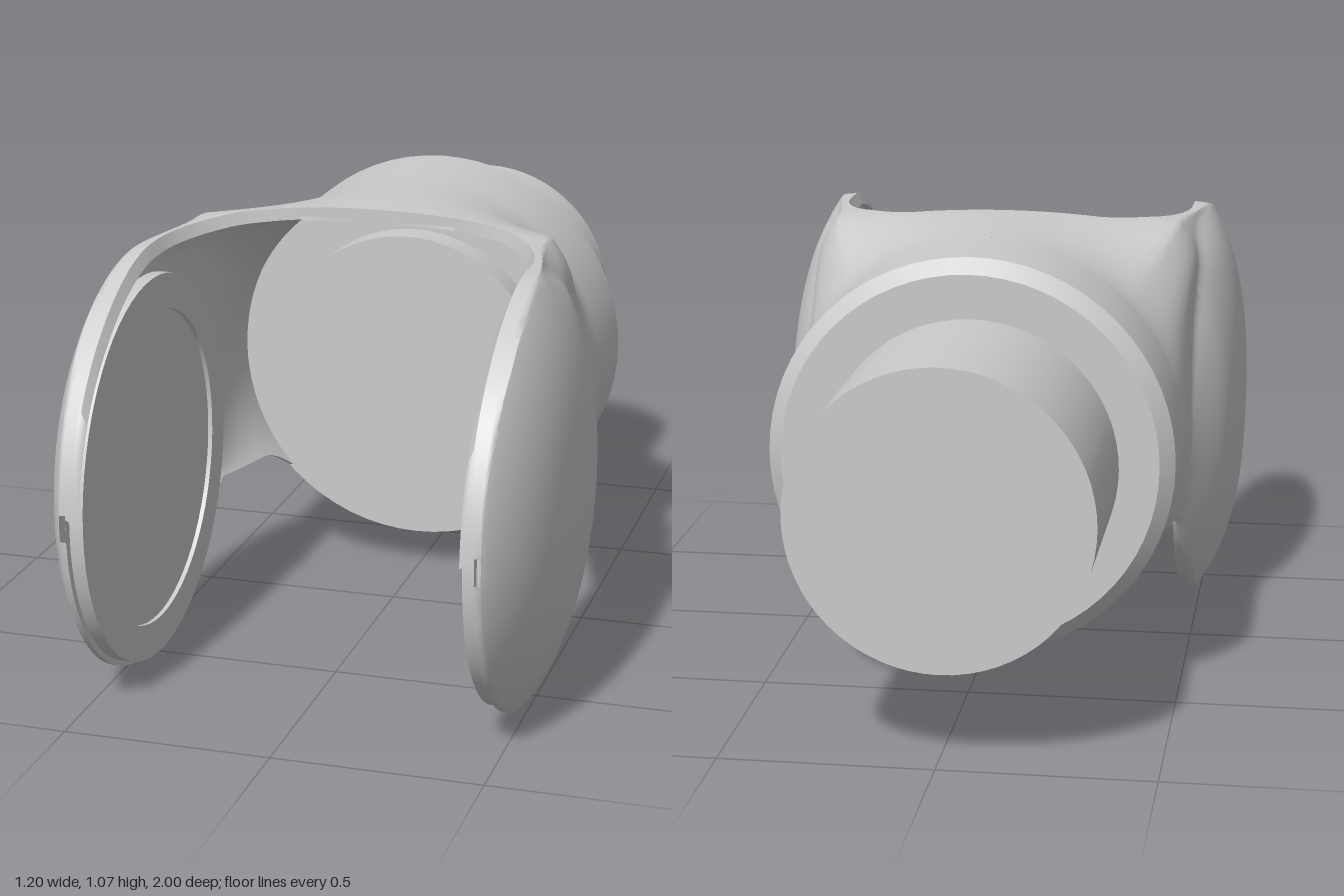
import * as THREE from 'three';
import { toCreasedNormals } from 'three/addons/utils/BufferGeometryUtils.js';

const { clamp, smoothstep, lerp } = THREE.MathUtils;
const R = 0.485, CY = 0.58; // collar radius and height of its axis
const BACK = -0.24, CUT = 0.13; // where the fork starts, and the front edge of its bridge
const TOP = 14, SIDE = 32; // points across half the bridge, and down one cheek

// Upper edge of the fork's cheeks
function rimTop(z) {
  if (z < 0.5) return 1.03 + (0.5 - z) * 0.02;
  return 0.5 + (0.5 + 0.03 * clamp(1 - (z - 0.5) / 0.3, 0, 1)) * Math.sqrt(Math.max(0, 1 - ((z - 0.5) / 0.5) ** 2));
}

// Lower edge: the short neck, then the round cheek
function rimBottom(z) {
  if (z < 0.042) return 0.3 - 0.05 * clamp((-0.14 - z) / 0.1, 0, 1) ** 2;
  return 0.5 - Math.sqrt(Math.max(0, 0.25 - (z - 0.5) ** 2));
}

// One outer section of half the fork, from the bridge down to the lower edge
function outerSection(z, x0) {
  const w = smoothstep(z, BACK, 0.2);
  const yT = rimTop(z), yB = rimBottom(z);
  const a0 = Math.min(0.75, Math.asin(Math.min(x0 / R, 1))), aMid = 0.8;
  const aEnd = Math.acos(clamp((rimBottom(Math.min(z, 0)) - CY) / R, -1, 1));
  const soft = 0.05 * (1 - smoothstep(z, 0.2, 0.5));
  const points = [];
  for (let i = 0; i <= TOP + SIDE; i++) {
    let angle, x, y;
    if (i <= TOP) {
      const u = i / TOP, xEnd = 0.487 - soft;
      angle = lerp(a0, aMid, u);
      x = lerp(Math.min(x0, xEnd), xEnd, u);
      y = yT + 0.028 * (1 - (x / xEnd) ** 2);
    } else {
      const v = (i - TOP) / SIDE;
      angle = lerp(aMid, aEnd, v);
      y = (yT + yB) / 2 + (yT - yB) / 2 * Math.cos(Math.PI * v);
      const r = Math.min(1, Math.hypot((z - 0.5) / 0.5, (y - 0.5) / (y > 0.5 ? 0.53 : 0.5)));
      x = 0.489 + 0.11 * (1 - r ** 2.8) ** 0.9;
      x -= soft * Math.max(0, 1 - (yT - y) / 0.12) ** 2;
    }
    points.push([lerp(R * Math.sin(angle), x, w), lerp(CY + R * Math.cos(angle), y, w)]);
  }
  return points;
}

// Half of the fork, lofted from closed sections along z
function forkHalf(side) {
  const rings = [];
  for (let i = 0; i <= 24; i++) rings.push([lerp(BACK, CUT, i / 24), 0]);
  for (let i = 0; i <= 50; i++) {
    const z = CUT + (0.999 - CUT) * (1 - Math.cos(Math.PI * i / 50)) / 2;
    const u = clamp((z - CUT) / 0.3, 0, 1);
    rings.push([z, 0.2 + 0.255 * Math.sqrt(1 - (1 - u) ** 2)]);
  }
  const positions = [], index = [];
  const n = 2 * (TOP + SIDE + 1);
  rings.forEach(([z, x0], k) => {
    const outer = outerSection(z, x0);
    const inner = outer.map(([x, y], i) => [
      Math.min(x * 0.97, 0.475),
      y - 0.03 * Math.max(0, 1 - i / (TOP * 1.5)),
    ]).reverse();
    for (const [x, y] of [...outer, ...inner]) positions.push(side * x, y, z);
    if (k === 0) return;
    for (let i = 0; i < n; i++) {
      const a = (k - 1) * n + i, b = (k - 1) * n + (i + 1) % n;
      const c = a + n, d = b + n;
      if (side > 0) index.push(a, c, b, b, c, d);
      else index.push(a, b, c, b, d, c);
    }
  });
  const geometry = new THREE.BufferGeometry();
  geometry.setAttribute('position', new THREE.Float32BufferAttribute(positions, 3));
  geometry.setIndex(index);
  return toCreasedNormals(geometry, 0.9);
}

// Turned part from [radius, height] pairs
function turned(profile) {
  const points = profile.map(([r, h]) => new THREE.Vector2(r, h));
  return toCreasedNormals(new THREE.LatheGeometry(points, 64), 0.5);
}

export function createModel() {
  const group = new THREE.Group();
  const material = new THREE.MeshStandardMaterial({ color: 0xcccccc, side: THREE.DoubleSide });
  const add = (name, geometry, x = 0, y = 0, z = 0) => {
    const mesh = new THREE.Mesh(geometry, material);
    mesh.name = name;
    mesh.position.set(x, y, z);
    group.add(mesh);
  };

  // Chamfered collar behind the fork
  add('collar', turned([[0, -0.52], [0.45, -0.52], [R, -0.485], [R, BACK], [0, BACK]])
    .rotateX(Math.PI / 2), -0.005, CY, 0);

  // Shaft through the collar
  add('shaft', new THREE.CylinderGeometry(0.35, 0.35, 0.84, 64).rotateX(Math.PI / 2), -0.01, 0.575, -0.58);

  // Fork cheeks and the round pads on their inner faces
  for (const side of [1, -1]) {
    const label = side > 0 ? 'left' : 'right';
    add(label + 'ForkHalf', forkHalf(side), -0.003);
    const pad = turned([[0, 0.453], [0.385, 0.453], [0.385, 0.442], [0.472, 0.442], [0.472, 0.485]])
      .rotateZ(-Math.PI / 2);
    if (side < 0) pad.rotateY(Math.PI);
    add(label + 'Pad', pad, -0.003, 0.485, 0.505);
  }
  return group;
}
